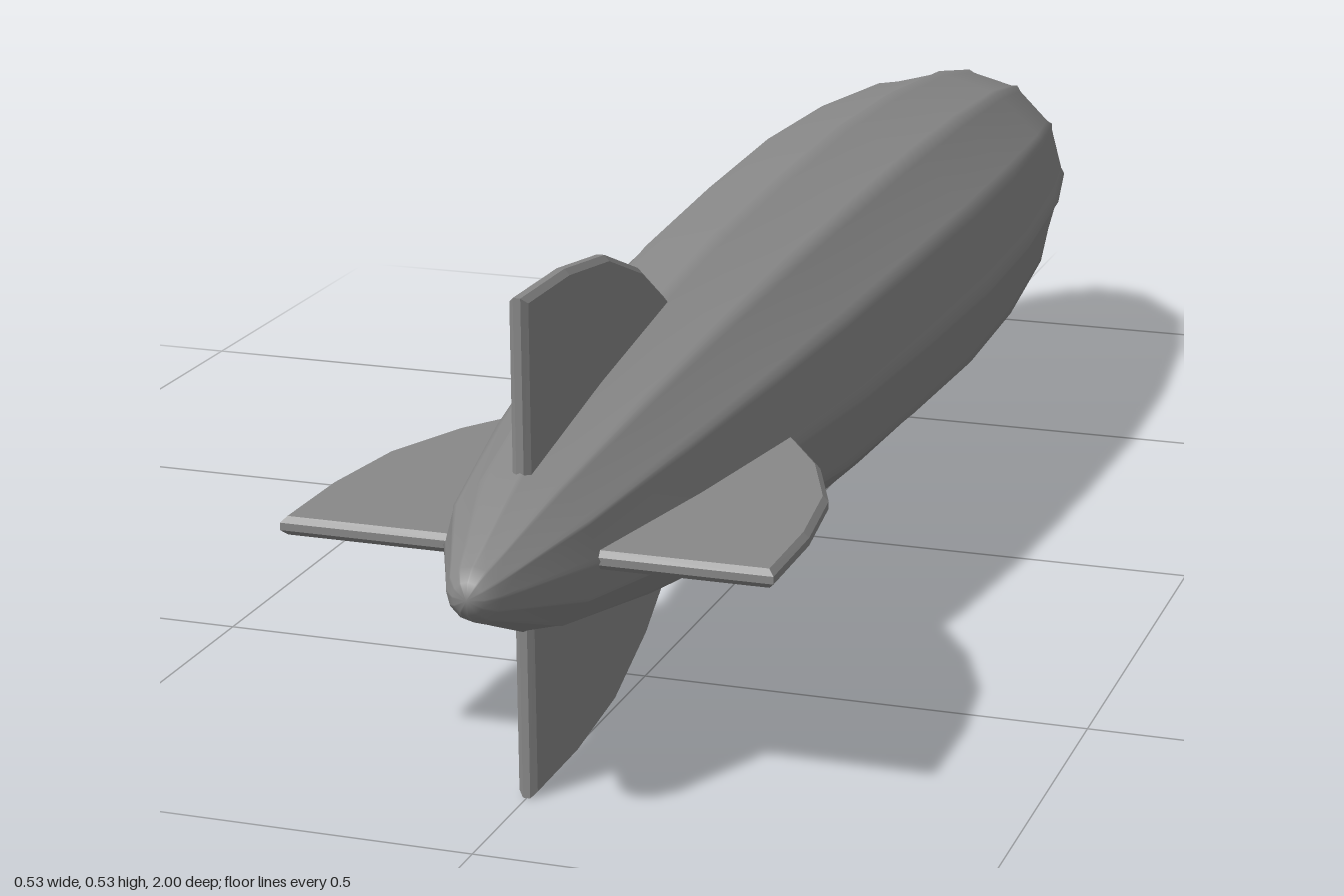
import * as THREE from 'three';

const AXIS_Y = 0.265;

// Closed loft through equally sized loops of points, with a single point at each end
function loft(rings, start, end) {
  const n = rings[0].length, pos = [...start], index = [];
  rings.forEach(ring => ring.forEach(p => pos.push(...p)));
  pos.push(...end);
  const last = pos.length / 3 - 1;
  const id = (i, j) => 1 + i * n + (j % n);
  for (let j = 0; j < n; j++) {
    index.push(0, id(0, j), id(0, j + 1));
    for (let i = 0; i < rings.length - 1; i++) {
      index.push(id(i, j), id(i + 1, j), id(i + 1, j + 1));
      index.push(id(i, j), id(i + 1, j + 1), id(i, j + 1));
    }
    index.push(last, id(rings.length - 1, j + 1), id(rings.length - 1, j));
  }
  const geometry = new THREE.BufferGeometry();
  geometry.setAttribute('position', new THREE.Float32BufferAttribute(pos, 3));
  geometry.setIndex(index);
  geometry.computeVertexNormals();
  return geometry;
}

// Twelve-sided hull with a raised rib along every corner
function hullGeometry() {
  const profile = [ // z, radius from tail to nose
    [0.994, 0.017], [0.98, 0.029], [0.95, 0.042], [0.855, 0.084], [0.65, 0.124],
    [0.44, 0.156], [0.24, 0.177], [0, 0.189], [-0.24, 0.196], [-0.46, 0.19],
    [-0.69, 0.17], [-0.85, 0.139], [-0.945, 0.085], [-0.98, 0.05], [-0.995, 0.022],
  ];
  const rings = profile.map(([z, r]) => {
    const ring = [];
    const rib = Math.min(1, r / 0.1) * 0.03;
    for (let k = 0; k < 12; k++) {
      for (const s of [-1, 0, 1]) {
        const a = k * Math.PI / 6 + s * 0.055;
        const d = s === 0 ? r : r * (1 - rib);
        ring.push([d * Math.cos(a), d * Math.sin(a), z]);
      }
    }
    return ring;
  });
  return loft(rings, [0, 0, 1], [0, 0, -1]);
}

// Bevelled tail fin lying flat, reaching out along +x
function finGeometry() {
  const outline = [[0.05, 0.855], [0.264, 0.855], [0.263, 0.735], [0.248, 0.62],
    [0.208, 0.52], [0.152, 0.435], [0.09, 0.435]];
  const shape = new THREE.Shape(outline.map(p => new THREE.Vector2(...p)));
  const geometry = new THREE.ExtrudeGeometry(shape, {
    depth: 0.008, bevelThickness: 0.006, bevelSize: 0.006, bevelOffset: -0.006, bevelSegments: 1,
  });
  geometry.translate(0, 0, -0.004);
  return geometry.rotateX(Math.PI / 2);
}

// Boat-shaped cabin under the nose
function gondolaGeometry() {
  const sections = [ // z, bottom y, bottom half width, upper half width
    [-0.44, 0.083, 0.006, 0.012], [-0.54, 0.061, 0.02, 0.036],
    [-0.75, 0.055, 0.02, 0.036], [-0.79, 0.115, 0.014, 0.025],
  ];
  const rings = sections.map(([z, y, b, t]) => [
    [t, 0.15, z], [-t, 0.15, z], [-t, y + 0.03, z], [-b, y, z], [b, y, z], [t, y + 0.03, z],
  ]);
  const geometry = loft(rings, [0, 0.11, -0.43], [0, 0.14, -0.792]).toNonIndexed();
  geometry.computeVertexNormals();
  return geometry;
}

export function createModel() {
  const grey = new THREE.MeshStandardMaterial({ color: 0x888888 });
  grey.name = 'hull grey';
  const group = new THREE.Group();
  group.name = 'airship';
  const add = (name, geometry) => {
    const mesh = new THREE.Mesh(geometry, grey);
    mesh.name = name;
    group.add(mesh);
    return mesh;
  };

  add('hull', hullGeometry()).position.y = AXIS_Y;

  // Four fins in a cross
  const fin = finGeometry();
  ['leftFin', 'topFin', 'rightFin', 'bottomFin'].forEach((name, k) => {
    const mesh = add(name, fin);
    mesh.position.y = AXIS_Y;
    mesh.rotation.z = k * Math.PI / 2;
  });

  add('gondola', gondolaGeometry());
  return group;
}
